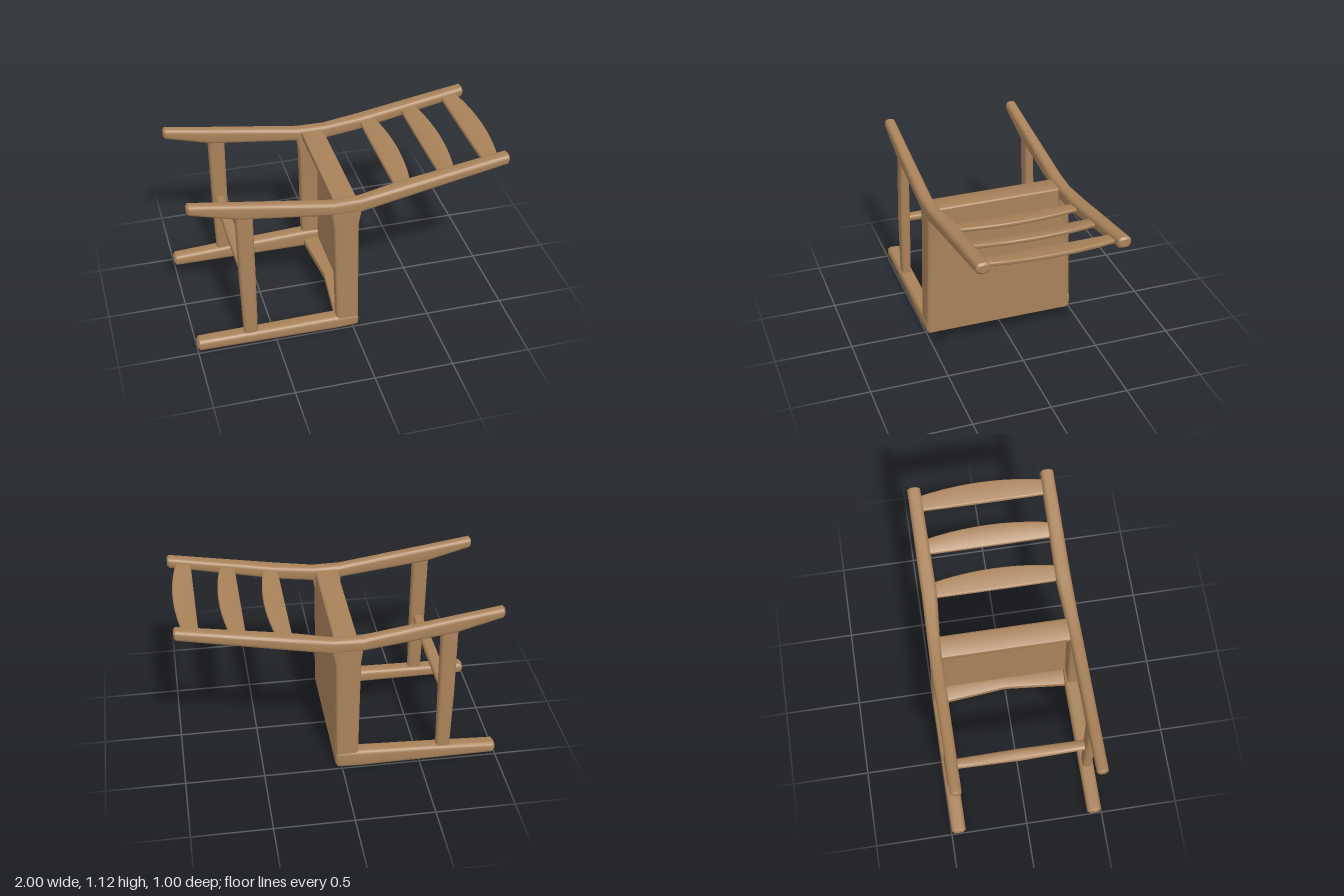
import * as THREE from 'three';
import { toCreasedNormals } from 'three/addons/utils/BufferGeometryUtils.js';

const wood = new THREE.MeshStandardMaterial({ color: 0xa9825a });
wood.name = 'oak wood';

// Lofts rounded rectangles along an axis. Section: [t, aMin, aMax, bMin, bMax]
// where (t, a, b) is (x, y, z), (y, z, x) or (z, x, y); t must increase.
function loft(axis, sections, radius, slope = 0, cap = 0.008) {
  const inset = ([t, a0, a1, b0, b1], nt) => [nt, a0 + cap, a1 - cap, b0 + cap, b1 - cap];
  const first = sections[0], last = sections[sections.length - 1];
  const all = [
    inset(first, first[0]),
    [first[0] + cap, ...first.slice(1)],
    ...sections.slice(1, -1),
    [last[0] - cap, ...last.slice(1)],
    inset(last, last[0]),
  ];
  const steps = 4, n = 4 * (steps + 1);
  const place = { x: (t, a, b) => [t, a, b], y: (t, a, b) => [b, t, a], z: (t, a, b) => [a, b, t] }[axis];
  const pos = [], index = [];
  for (const [t, a0, a1, b0, b1] of all) {
    const r = Math.min(radius, (a1 - a0) * 0.49, (b1 - b0) * 0.49);
    const mid = (a0 + a1) / 2;
    for (let c = 0; c < 4; c++) {
      const ca = c === 0 || c === 3 ? a1 - r : a0 + r;
      const cb = c < 2 ? b1 - r : b0 + r;
      for (let s = 0; s <= steps; s++) {
        const ang = (c + s / steps) * Math.PI / 2;
        const a = ca + r * Math.cos(ang);
        pos.push(...place(t, a, cb + r * Math.sin(ang) + slope * (a - mid)));
      }
    }
  }
  for (let k = 0; k < all.length - 1; k++) {
    for (let i = 0; i < n; i++) {
      const p = k * n + i, p2 = k * n + (i + 1) % n;
      index.push(p, p2, p2 + n, p, p2 + n, p + n);
    }
  }
  const top = (all.length - 1) * n;
  for (let i = 1; i < n - 1; i++) {
    index.push(0, i + 1, i, top, top + i, top + i + 1);
  }
  const geo = new THREE.BufferGeometry();
  geo.setAttribute('position', new THREE.Float32BufferAttribute(pos, 3));
  geo.setIndex(index);
  return toCreasedNormals(geo, 0.6);
}

export function createModel() {
  const chair = new THREE.Group();
  chair.name = 'chair';
  const add = (name, geo) => {
    const mesh = new THREE.Mesh(geo, wood);
    mesh.name = name;
    chair.add(mesh);
  };

  for (const side of [1, -1]) {
    const label = side > 0 ? 'Left' : 'Right';
    // Mirrors a z range to this side
    const z = (inner, outer) => side > 0 ? [inner, outer] : [-outer, -inner];

    // Bent beam: rear leg running into the back post
    add('rearLegAndPost' + label, loft('x', [
      [-1, 1.02, 1.09, ...z(0.4, 0.47)],
      [-0.7, 0.94, 1.045, ...z(0.4, 0.472)],
      [-0.12, 0.868, 0.957, ...z(0.4, 0.478)],
      [0.055, 0.862, 0.957, ...z(0.395, 0.475)],
      [0.3, 0.908, 0.997, ...z(0.375, 0.47)],
      [1, 1.045, 1.115, ...z(0.385, 0.468)],
    ], 0.026, 0, 0.012));

    // Front leg, a little thicker towards the seat
    const rootTop = side > 0 ? 0.092 : 0.122;
    add('frontLeg' + label, loft('x', [
      [-1, 0.005, 0.08, ...z(0.405, 0.497)],
      [-0.6, 0.003, side > 0 ? 0.085 : 0.1, ...z(0.405, 0.5)],
      [-0.1, 0, rootTop, ...z(0.405, 0.502)],
      [0.04, 0.004, rootTop, ...z(0.41, 0.5)],
    ], 0.026, 0, 0.014));

    // Side apron, flaring into the rear joint
    add('sideApron' + label, loft('y', [
      [0.03, ...z(0.425, 0.498), -0.102, 0.037],
      [0.78, ...z(0.4, 0.474), -0.118, 0.042],
      [0.88, ...z(0.396, 0.474), -0.13, 0.06],
      [0.93, ...z(0.4, 0.47), -0.12, 0.055],
    ], 0.018));

    // Side stretcher between front and rear leg
    add('sideStretcher' + label, loft('y', [
      [0.05, ...z(0.425, 0.485), -0.7, -0.612],
      [0.5, ...z(0.415, 0.482), -0.712, -0.61],
      [0.98, ...z(0.408, 0.465), -0.718, -0.61],
    ], 0.022));
  }

  // Cross stretcher joining the two side stretchers
  add('crossStretcher', loft('z', [
    [-0.44, -0.695, -0.63, 0.475, 0.52],
    [0, -0.702, -0.625, 0.472, 0.523],
    [0.44, -0.695, -0.63, 0.475, 0.52],
  ], 0.02));

  // Seat panel and the aprons along its front and rear edges
  add('seat', loft('y', [
    [0.012, -0.48, 0.49, 0.005, 0.04],
    [0.935, -0.43, 0.45, 0.005, 0.042],
  ], 0.01, 0, 0.006));
  add('frontApron', loft('z', [
    [-0.44, -0.1, 0.036, 0.012, 0.065],
    [0, -0.06, 0.036, 0.014, 0.065],
    [0.44, -0.1, 0.036, 0.012, 0.065],
  ], 0.01));
  add('rearApron', loft('z', [
    [-0.42, -0.102, 0.04, 0.89, 0.937],
    [0.42, -0.102, 0.04, 0.89, 0.937],
  ], 0.01));

  // Back slats with a bowed upper edge, tilted with the posts
  for (const x of [0.29, 0.57, 0.85]) {
    const y = 0.963 + 0.172 * (x - 0.29);
    const sections = [];
    for (let i = 0; i <= 10; i++) {
      const t = i / 5 - 1;
      sections.push([t * 0.41, x, x + 0.135 - 0.042 * t * t, y - 0.014, y + 0.014]);
    }
    add('backSlat', loft('z', sections, 0.01, 0.18, 0.004));
  }

  return chair;
}
